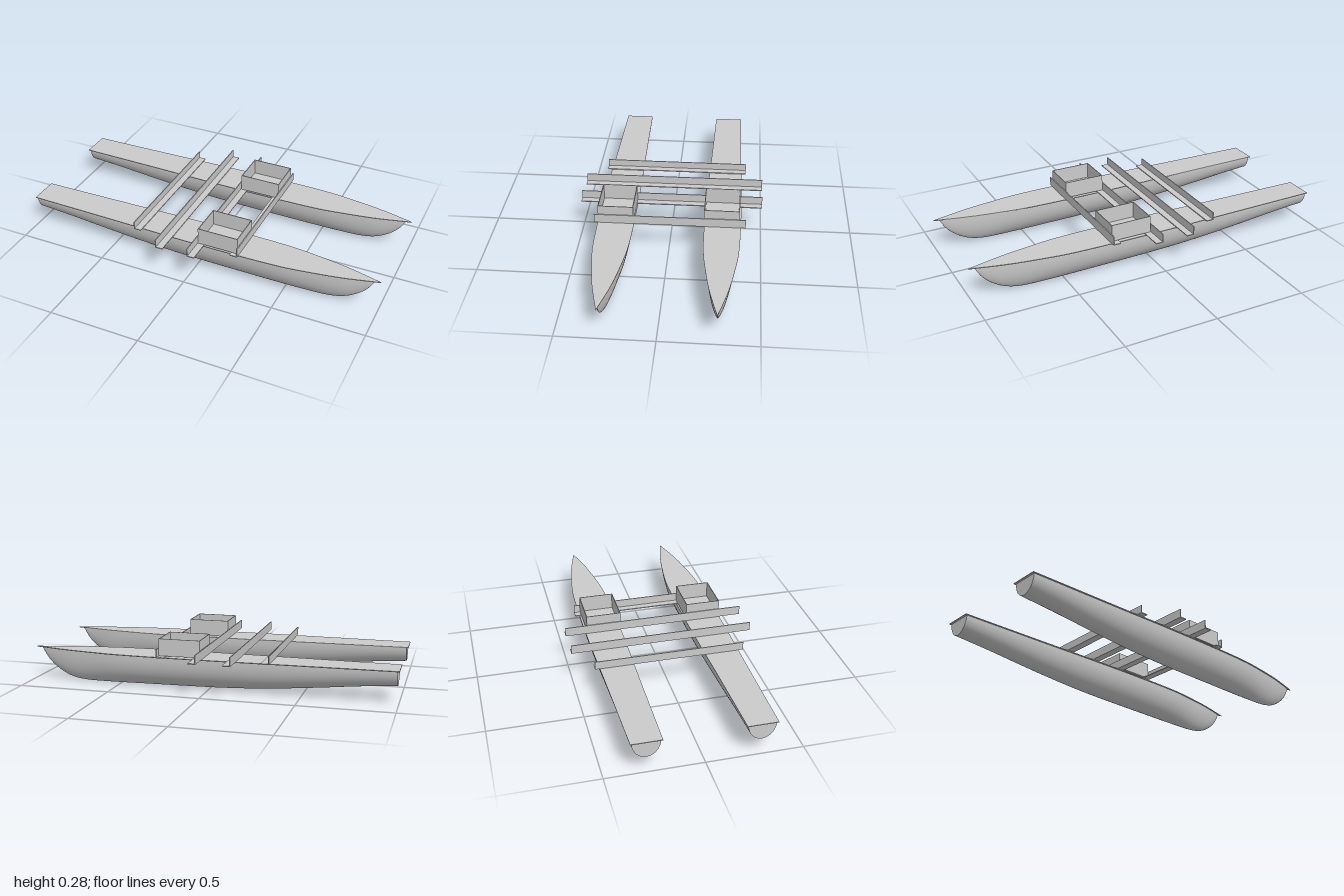
import * as THREE from 'three';

const mat = new THREE.MeshStandardMaterial({ color: 0xcccccc, side: THREE.DoubleSide });
const DECK_Y = 0.178;

// Linear interpolation / smooth interpolation through [x, value] stations
const curveOf = (pts) => {
  const n = pts.length;
  const slope = (i) => {
    const a = pts[Math.max(0, i - 1)], b = pts[Math.min(n - 1, i + 1)];
    return (b[1] - a[1]) / (b[0] - a[0]);
  };
  return (x) => {
    let i = 0;
    while (i < n - 2 && x > pts[i + 1][0]) i++;
    const [x0, y0] = pts[i], [x1, y1] = pts[i + 1];
    const h = x1 - x0, t = Math.min(1, Math.max(0, (x - x0) / h)), t2 = t * t, t3 = t2 * t;
    return (2 * t3 - 3 * t2 + 1) * y0 + (t3 - 2 * t2 + t) * h * slope(i)
      + (3 * t2 - 2 * t3) * y1 + (t3 - t2) * h * slope(i + 1);
  };
};

const deckHalf = curveOf([[-1, 0.079], [-0.5, 0.088], [-0.1, 0.097], [0.25, 0.098],
  [0.5, 0.091], [0.65, 0.073], [0.8, 0.049], [0.92, 0.021], [1, 0]]);
const keelY = curveOf([[-0.99, 0.086], [-0.8, 0.071], [-0.6, 0.05], [-0.4, 0.031], [-0.2, 0.017],
  [0, 0.01], [0.3, 0.006], [0.6, 0.003], [0.72, 0.006], [0.8, 0.022], [0.87, 0.058],
  [0.93, 0.112], [0.97, 0.177]]);

function box(name, w, h, d, x, y, z) {
  const m = new THREE.Mesh(new THREE.BoxGeometry(w, h, d), mat);
  m.name = name;
  m.position.set(x, y, z);
  return m;
}

// Hull skin lofted from U-shaped sections, stern to stem
function hullGeometry() {
  const NX = 64, NS = 24, pos = [], idx = [];
  for (let i = 0; i <= NX; i++) {
    const u = i / NX, x = -0.99 + 1.96 * Math.sin(u * Math.PI / 2) ** 0.9;
    const top = DECK_Y - 0.002, keel = Math.min(keelY(x), top);
    const w = Math.max(0, deckHalf(x) - 0.007) * Math.min(1, (0.97 - x) / 0.03);
    const k = THREE.MathUtils.smoothstep(x, -1, 0.2); // rounder aft, finer forward
    for (let j = 0; j <= NS; j++) {
      const s = j / NS * 2 - 1, t = Math.sin((1 - Math.abs(s)) * Math.PI / 2);
      const f = Math.max(0, 1 - t ** (2 + 0.3 * k)) ** (0.5 + 0.2 * k);
      pos.push(x, top + (keel - top) * t, Math.sign(s) * w * f);
    }
  }
  const row = NS + 1;
  for (let i = 0; i < NX; i++) {
    for (let j = 0; j < NS; j++) {
      const a = i * row + j, b = a + row;
      idx.push(a, a + 1, b, b, a + 1, b + 1);
    }
  }
  const g = new THREE.BufferGeometry();
  g.setAttribute('position', new THREE.Float32BufferAttribute(pos, 3));
  g.setIndex(idx);
  g.computeVertexNormals();
  return g;
}

// Flat transom closing the stern
function transomGeometry() {
  const w = deckHalf(-0.99) - 0.007, d = DECK_Y - 0.002 - keelY(-0.99);
  const s = new THREE.Shape();
  s.absellipse(0, 0, w, d, Math.PI, Math.PI * 2);
  return new THREE.ShapeGeometry(s, 12).rotateY(-Math.PI / 2).translate(-0.99, DECK_Y - 0.002, 0);
}

// Thin deck plate overhanging the hull slightly
function deckGeometry() {
  const s = new THREE.Shape(), N = 40;
  s.moveTo(-1, -deckHalf(-1));
  for (let i = 1; i <= N; i++) s.lineTo(-1 + 2 * i / N, -deckHalf(-1 + 2 * i / N));
  for (let i = N - 1; i >= 0; i--) s.lineTo(-1 + 2 * i / N, deckHalf(-1 + 2 * i / N));
  s.closePath();
  return new THREE.ExtrudeGeometry(s, { depth: 0.004, bevelEnabled: false })
    .rotateX(-Math.PI / 2).translate(0, DECK_Y - 0.004, 0);
}

// L-section cross beam: flange lies on the deck, web stands on one edge
function crossBeam(x, webSide, length, height, z, tilt) {
  const g = new THREE.Group();
  g.name = 'crossBeam';
  g.add(box('beamFlange', 0.042, 0.005, length, 0, 0.0025, 0));
  g.add(box('beamWeb', 0.005, height, length, webSide * 0.0185, height / 2, 0));
  g.position.set(x, DECK_Y + 0.001, z);
  g.rotation.y = tilt;
  return g;
}

// Open-topped tray
function tray(z) {
  const g = new THREE.Group(), w = 0.226, h = 0.092, d = 0.19, t = 0.004;
  g.name = 'openBox';
  g.add(box('boxFloor', w, t, d, 0, t / 2, 0));
  for (const s of [-1, 1]) {
    g.add(box('boxSideWall', w, h, t, 0, h / 2, s * (d - t) / 2));
    g.add(box('boxEndWall', t, h, d, s * (w - t) / 2, h / 2, 0));
  }
  g.position.set(0.142, 0.186, z);
  return g;
}

export function createModel() {
  const model = new THREE.Group();
  model.name = 'catamaran';

  const parts = { hull: hullGeometry(), transom: transomGeometry(), deck: deckGeometry() };
  for (const z of [0.283, -0.289]) {
    const pontoon = new THREE.Group();
    pontoon.name = 'pontoon';
    for (const [name, geo] of Object.entries(parts)) {
      const m = new THREE.Mesh(geo, mat);
      m.name = name;
      pontoon.add(m);
    }
    pontoon.position.z = z;
    model.add(pontoon);
  }

  model.add(
    crossBeam(-0.324, -1, 0.806, 0.044, -0.003, 0.001),
    crossBeam(-0.143, -1, 1.0, 0.049, 0, 0.004),
    crossBeam(0.041, -1, 1.0, 0.049, 0, 0.004),
    crossBeam(0.24, 1, 0.812, 0.049, -0.006, 0.002),
    tray(0.284),
    tray(-0.284),
  );
  return model;
}
